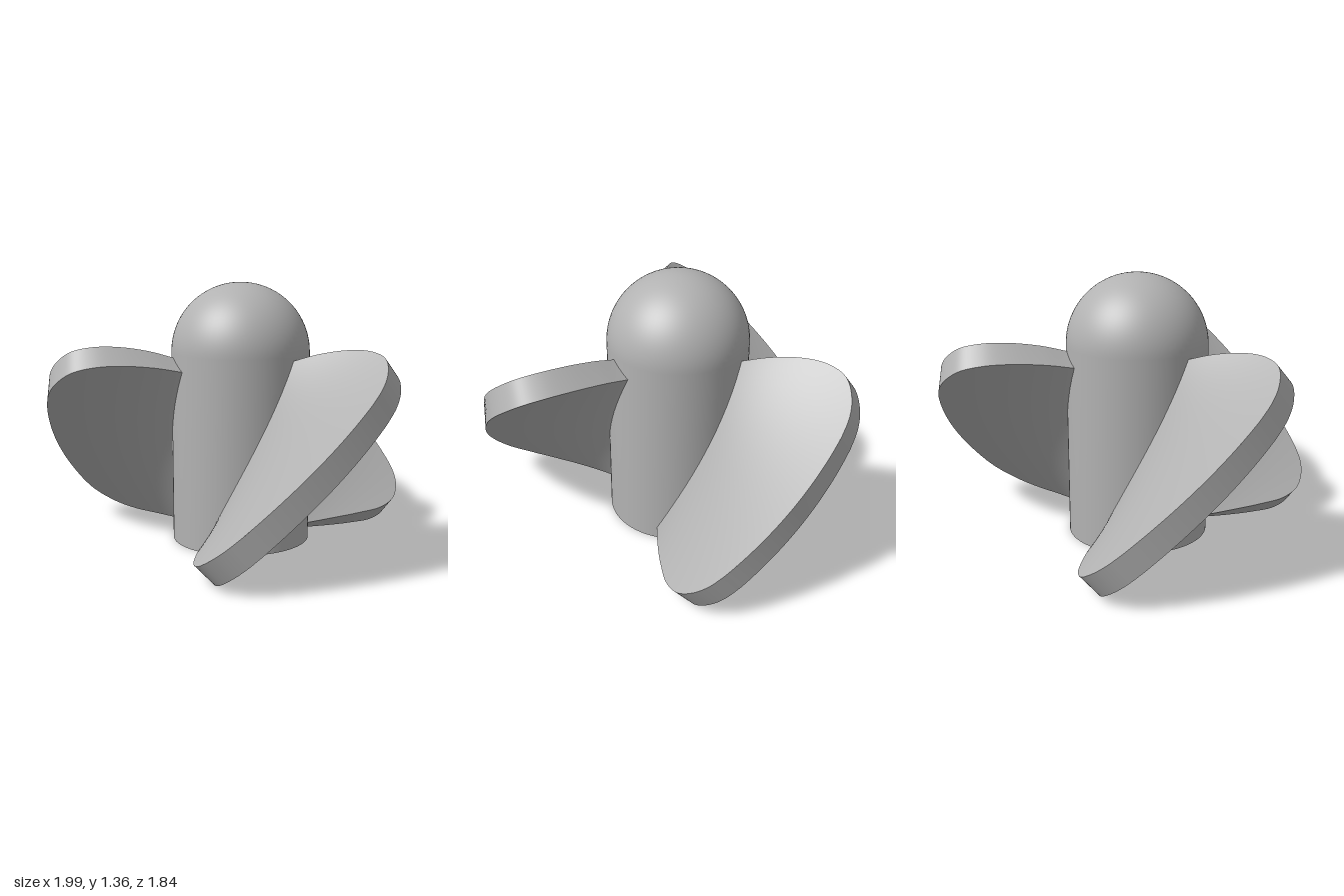
import * as THREE from 'three';
import { mergeGeometries, toCreasedNormals } from 'three/addons/utils/BufferGeometryUtils.js';

const HUB_R = 0.363, THICK = 0.13, MID_Y = 0.51;

// Blade outline: radius, lower height, upper height
const outline = new THREE.CatmullRomCurve3([
  [0.345, 0.035, 0.945], [0.5, 0.04, 0.985], [0.67, 0.045, 1.01], [0.8, 0.052, 1.01],
  [0.9, 0.08, 0.985], [0.96, 0.13, 0.93], [0.99, 0.185, 0.87], [1, 0.25, 0.8],
].map(p => new THREE.Vector3(...p)));

// Point on the twisted middle surface
function helicoid(r, y) {
  const a = (y - MID_Y) * (1.62 - 0.48 * r);
  return new THREE.Vector3(r * Math.sin(a), y, r * Math.cos(a));
}

// Point on the blade: t outward, v from lower to upper edge, side -1 (under) to 1 (over)
function bladePoint(t, v, side) {
  const o = outline.getPoint(t);
  const y = o.y + (o.z - o.y) * v, e = 0.001;
  const p = helicoid(o.x, y);
  const dr = helicoid(o.x + e, y).sub(p);
  const dy = helicoid(o.x, y + e).sub(p);
  return p.addScaledVector(dr.cross(dy).normalize(), side * THICK / 2);
}

// Smooth grid surface whose front faces along u x v
function sheet(nu, nv, fn) {
  const pos = [], index = [];
  for (let i = 0; i <= nu; i++)
    for (let j = 0; j <= nv; j++) {
      pos.push(...fn(i / nu, j / nv).toArray());
      if (i < nu && j < nv) {
        const a = i * (nv + 1) + j, b = a + nv + 1;
        index.push(a, b, b + 1, a, b + 1, a + 1);
      }
    }
  const g = new THREE.BufferGeometry();
  g.setAttribute('position', new THREE.Float32BufferAttribute(pos, 3));
  g.setIndex(index);
  g.computeVertexNormals();
  return g;
}

function bladeGeometry() {
  // Rim runs out along the lower edge, up the tip and back along the upper edge
  const rim = (u, v) => {
    const s = u * 3, side = 2 * v - 1;
    if (s <= 1) return bladePoint(s, 0, side);
    if (s <= 2) return bladePoint(1, s - 1, side);
    return bladePoint(3 - s, 1, side);
  };
  return mergeGeometries([
    sheet(48, 32, (u, v) => bladePoint(u, v, 1)),
    sheet(32, 48, (u, v) => bladePoint(v, u, -1)),
    sheet(144, 1, rim),
    sheet(32, 1, (u, v) => bladePoint(0, 1 - u, 2 * v - 1)),
  ]);
}

export function createModel() {
  const model = new THREE.Group();
  const grey = new THREE.MeshStandardMaterial({ color: 0xb2b2b2 });
  grey.name = 'grey';

  // Hub with a shaft bore below and a domed top
  const profile = [[0, 1], [0.198, 1], [0.198, 0], [HUB_R, 0]].map(p => new THREE.Vector2(...p));
  for (let i = 0; i <= 24; i++) {
    const a = i / 24 * Math.PI / 2;
    profile.push(new THREE.Vector2(i === 24 ? 0 : HUB_R * Math.cos(a), 1 + HUB_R * Math.sin(a)));
  }
  const hub = new THREE.Mesh(toCreasedNormals(new THREE.LatheGeometry(profile, 72), 0.6), grey);
  hub.name = 'hub';
  model.add(hub);

  // Three equal blades
  const geometry = bladeGeometry();
  for (let i = 0; i < 3; i++) {
    const blade = new THREE.Mesh(geometry, grey);
    blade.name = 'blade' + (i + 1);
    blade.rotation.y = i * Math.PI * 2 / 3;
    model.add(blade);
  }

  // The hub axis sits slightly behind the centre
  for (const part of model.children) part.position.z = -0.066;
  return model;
}
